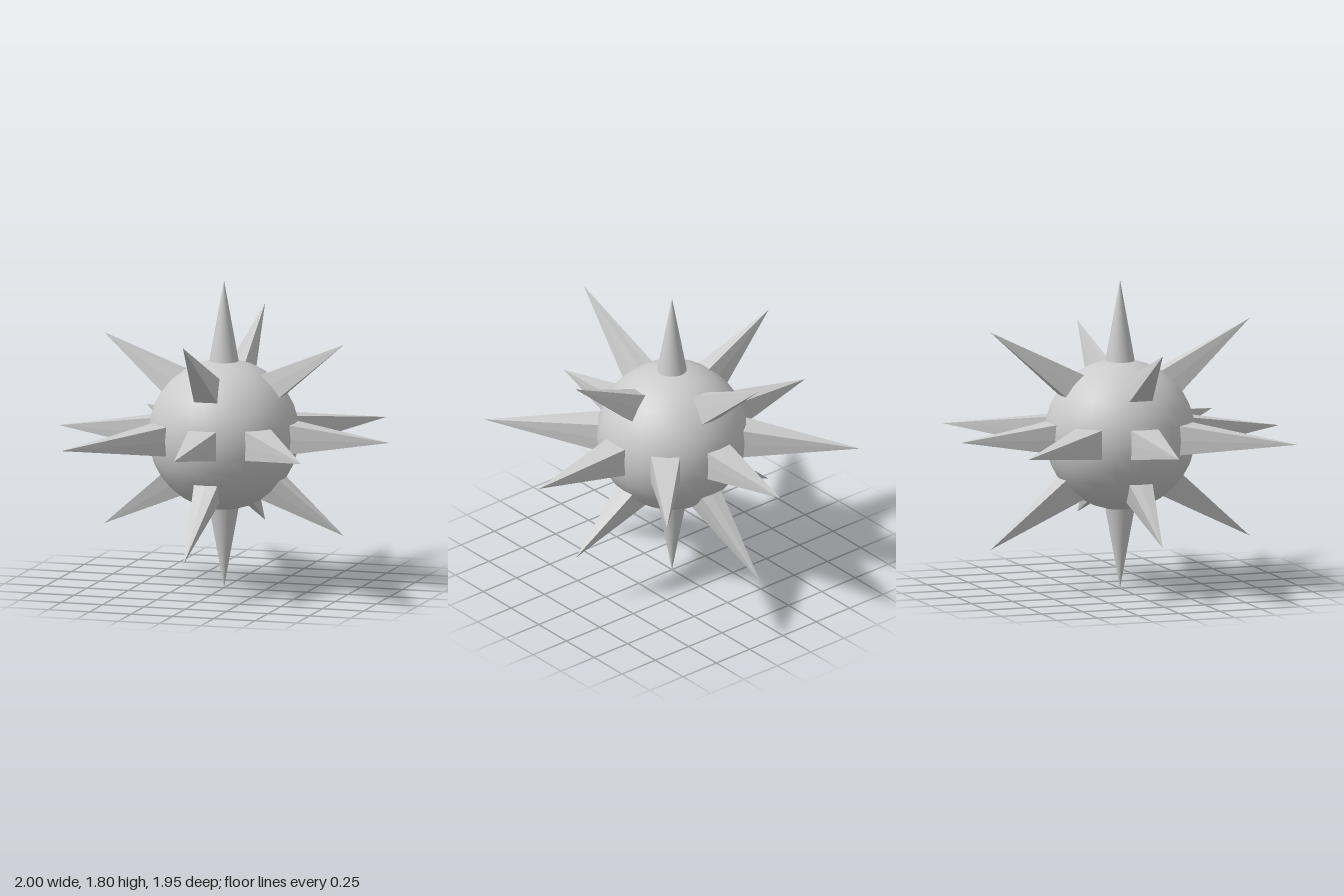
import * as THREE from 'three';

const R = 0.437, CENTRE = 0.9, STEP = Math.PI / 16;
const flat = new THREE.MeshStandardMaterial({ color: 0xcccccc, flatShading: true });
const smooth = new THREE.MeshStandardMaterial({ color: 0xcccccc });

// Point on the ball, in grid steps of azimuth (0 = front, 8 = left) and elevation
const onBall = (az, el) => new THREE.Vector3(
  Math.cos(el * STEP) * Math.sin(az * STEP),
  Math.sin(el * STEP),
  Math.cos(el * STEP) * Math.cos(az * STEP)
).multiplyScalar(R);

// Outline of a two-by-two patch of the ball's grid, counter-clockwise
const RIM = [[-1, -1], [0, -1], [1, -1], [1, 0], [1, 1], [0, 1], [-1, 1], [-1, 0]];

// Spike drawn out of a grid patch to a single tip
function patchSpike(az, el, tip) {
  const rim = RIM.map(([a, e]) => onBall(az + a, el + e));
  const points = rim.flatMap((p, i) => [p, rim[(i + 1) % rim.length], tip]);
  const geometry = new THREE.BufferGeometry().setFromPoints(points);
  geometry.computeVertexNormals();
  return new THREE.Mesh(geometry, flat);
}

export function createModel() {
  const model = new THREE.Group();
  model.name = 'spikedBall';
  const body = new THREE.Group();
  body.name = 'body';
  body.position.y = CENTRE;
  model.add(body);
  const add = (mesh, name) => {
    mesh.name = name;
    body.add(mesh);
  };

  add(new THREE.Mesh(new THREE.SphereGeometry(R, 32, 16), smooth), 'ball');

  // Round spikes at the poles
  const baseY = R * Math.cos(STEP), length = CENTRE - baseY;
  for (const side of [1, -1]) {
    const cone = new THREE.ConeGeometry(R * Math.sin(STEP), length, 32, 1, true);
    cone.translate(0, baseY + length / 2, 0);
    if (side < 0) cone.rotateX(Math.PI);
    add(new THREE.Mesh(cone, smooth), side > 0 ? 'topSpike' : 'bottomSpike');
  }

  // Eight spikes round the equator, four above and four below
  for (let i = 0; i < 8; i++) {
    const az = i * 4;
    const sx = Math.round(Math.sin(az * STEP)), sz = Math.round(Math.cos(az * STEP));
    if (i % 2) {
      add(patchSpike(az, 0, new THREE.Vector3(sx * 0.725, 0, sz * 0.825)), 'diagonalSpike');
      continue;
    }
    add(patchSpike(az, 0, new THREE.Vector3(sx, 0, sz * 0.975)), 'equatorSpike');
    for (const sy of [1, -1]) {
      const rise = sx ? 0.56 : 0.635;
      const tip = new THREE.Vector3(sx * 0.725, sy * rise, sz * 0.795);
      add(patchSpike(az, sy * 4, tip), sy > 0 ? 'upperSpike' : 'lowerSpike');
    }
  }
  return model;
}
